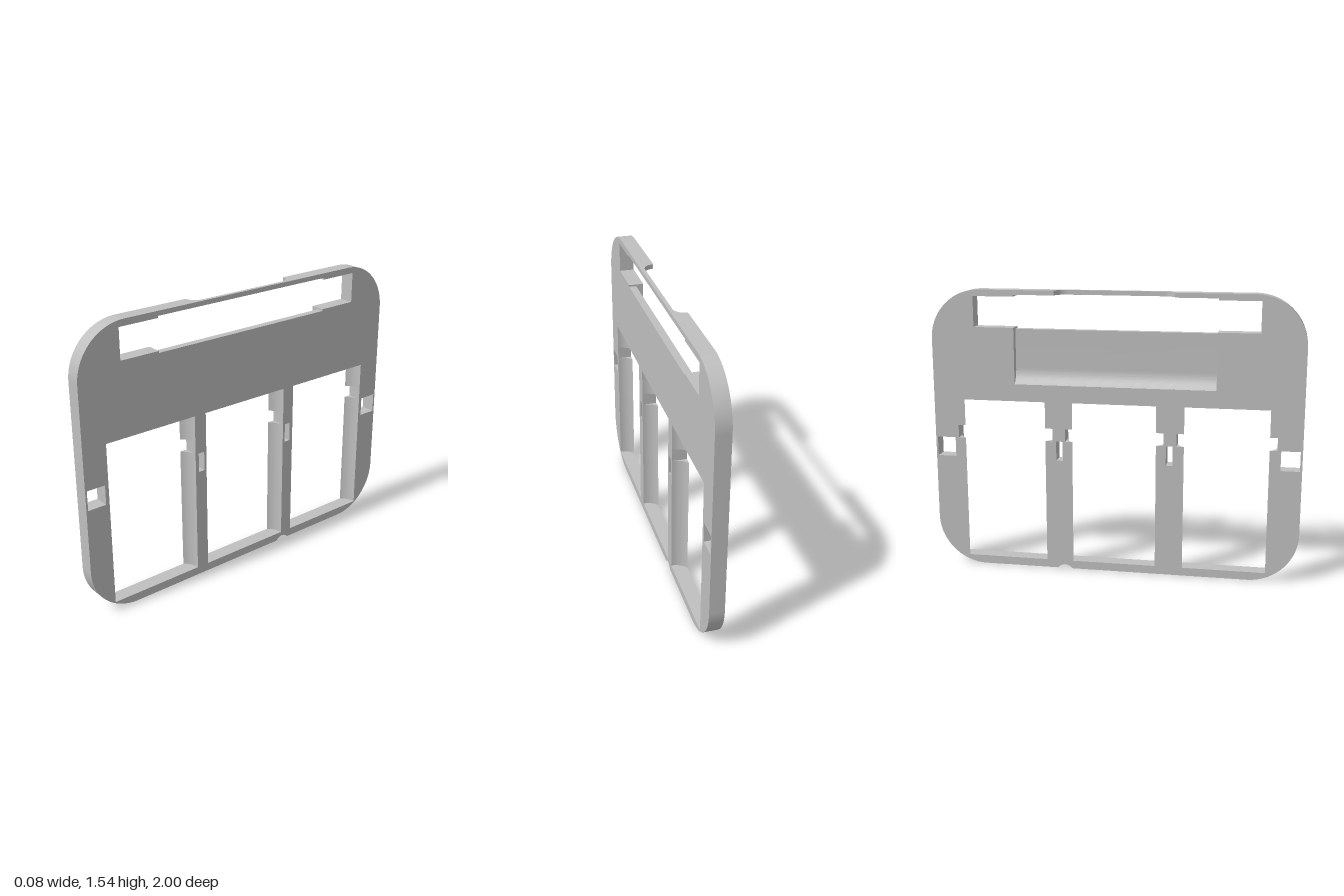
import * as THREE from 'three';
import { toCreasedNormals } from 'three/addons/utils/BufferGeometryUtils.js';

const HALF = 0.04; // half of the panel thickness
const TOP = 1.54, R = 0.27;

export function createModel() {
  const group = new THREE.Group();
  const grey = new THREE.MeshStandardMaterial({ color: 0xbfbfbf });
  grey.name = 'light grey';

  const extrude = (shape, depth) =>
    new THREE.ExtrudeGeometry(shape, { depth, bevelEnabled: false, curveSegments: 16 });
  const add = (name, geometry) => {
    const mesh = new THREE.Mesh(toCreasedNormals(geometry, 0.5), grey);
    mesh.name = name;
    group.add(mesh);
  };
  // Extrudes an (x, -z) section upwards between two heights
  const addUpright = (name, shape, y0, y1) =>
    add(name, extrude(shape, y1 - y0).rotateX(-Math.PI / 2).translate(0, y0, 0));
  const rect = (u0, u1, v0, v1) => new THREE.Path([
    new THREE.Vector2(u0, v0), new THREE.Vector2(u0, v1),
    new THREE.Vector2(u1, v1), new THREE.Vector2(u1, v0),
  ]);

  // Main frame, drawn in (-z, y): rounded outline, handle slot ends, pocket gap
  const frame = new THREE.Shape();
  frame.moveTo(-1 + R, 0);
  frame.lineTo(0.233, 0);
  frame.quadraticCurveTo(0.275, 0.042, 0.317, 0); // small notch in the bottom edge
  frame.lineTo(1 - R, 0);
  frame.absarc(1 - R, R, R, -Math.PI / 2, 0, false);
  frame.absarc(1 - R, TOP - R, R, 0, Math.PI / 2, false);
  const slot = [[0.543, TOP], [0.543, 1.505], [0.763, 1.505], [0.763, 1.34], [0.543, 1.34], [0.543, 1.035]];
  slot.forEach(([u, v]) => frame.lineTo(u, v));
  [...slot].reverse().forEach(([u, v]) => frame.lineTo(-u, v));
  frame.absarc(-1 + R, TOP - R, R, Math.PI / 2, Math.PI, false);
  frame.absarc(-1 + R, R, R, Math.PI, Math.PI * 1.5, false);

  // Three windows and the small through holes
  const windows = [[-0.868, -0.338], [-0.268, 0.268], [0.338, 0.868]];
  windows.forEach(([a, b]) => frame.holes.push(rect(a, b, 0.045, 0.942)));
  [[-0.99, -0.888], [-0.318, -0.282], [0.282, 0.318], [0.888, 0.99]]
    .forEach(([a, b]) => frame.holes.push(rect(a, b, 0.62, 0.727)));
  add('frame', extrude(frame, 2 * HALF).rotateY(Math.PI / 2).translate(-HALF, 0, 0));

  // Back wall of the pocket, with a scooped lower edge
  const wall = new THREE.Shape();
  wall.moveTo(-HALF, 1.035);
  wall.lineTo(HALF, 1.035);
  wall.lineTo(HALF, 1.33);
  wall.lineTo(0, 1.33);
  wall.absarc(-0.11, 1.12, 0.11, 0, -0.882, true);
  add('pocketWall', extrude(wall, 1.086).translate(0, 0, -0.543));

  // Top rail with a rounded finger cut-out
  const rail = new THREE.Shape();
  rail.moveTo(-HALF, -0.543);
  rail.lineTo(HALF, -0.543);
  rail.lineTo(HALF, 0.543);
  rail.lineTo(-HALF, 0.543);
  rail.absarc(-HALF, 0.26, 0.06, Math.PI / 2, 0, true);
  rail.absarc(-HALF, -0.26, 0.06, 0, -Math.PI / 2, true);
  addUpright('topRail', rail, 1.515, TOP);

  // Hollow-curved lips along both sides of each window, interrupted by a gap
  const addLips = (edge, dir) => {
    const points = [new THREE.Vector2(HALF, edge), new THREE.Vector2(-HALF, edge)];
    const sweep = Math.asin(0.8), steps = 10;
    for (let i = 0; i < steps; i++) {
      const t = sweep * (1 - i / steps);
      points.push(new THREE.Vector2(HALF - 0.1 * Math.sin(t), edge + dir * 0.1 * (1 - Math.cos(t))));
    }
    const lip = new THREE.Shape(points);
    addUpright('lowerLip', lip, 0.045, 0.727);
    addUpright('upperLip', lip, 0.797, 0.942);
  };
  windows.forEach(([a, b]) => { addLips(a, 1); addLips(b, -1); });

  return group;
}
